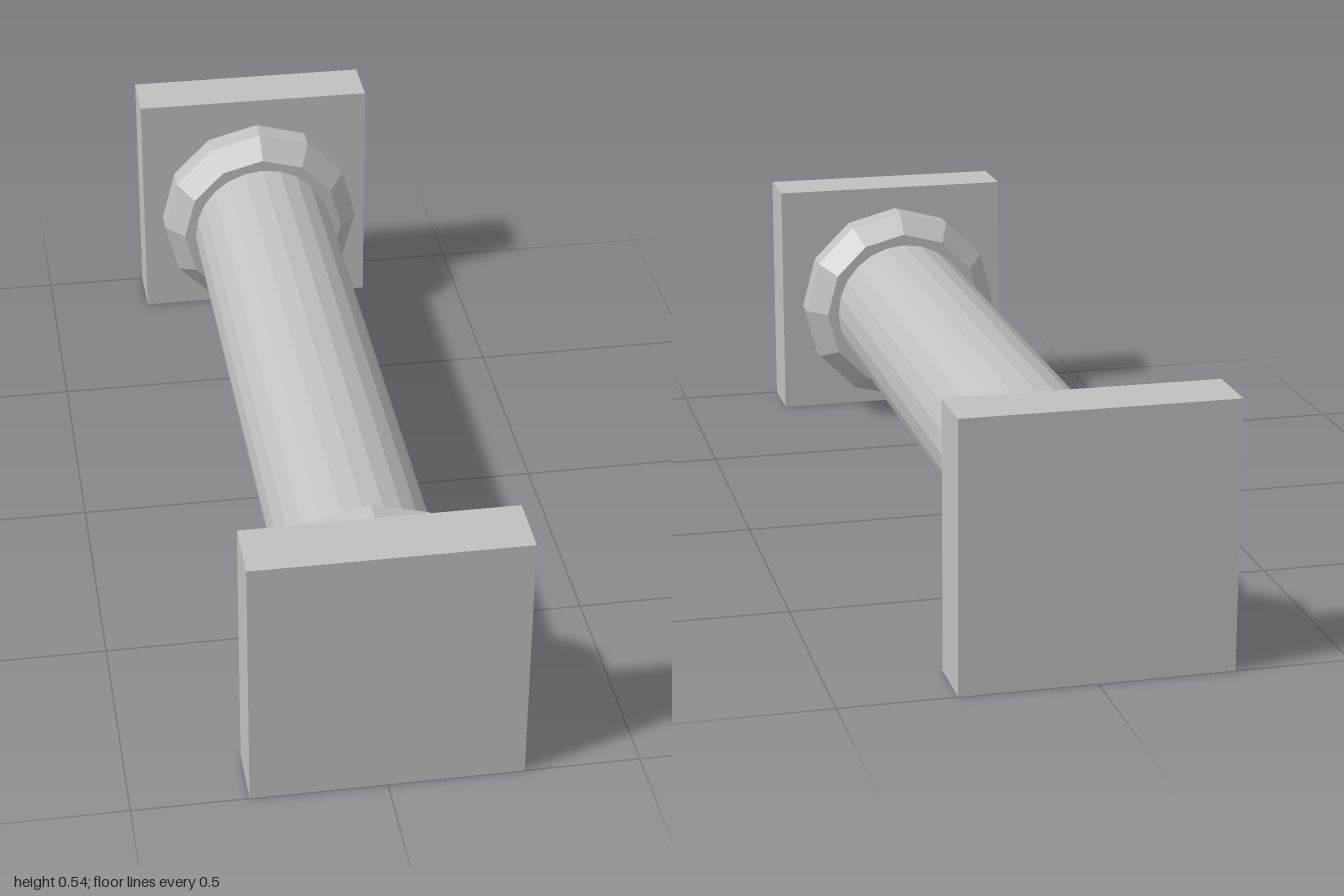
import * as THREE from 'three';

const CENTRE_Y = 0.27;

export function createModel() {
  const model = new THREE.Group();
  model.name = 'column';
  const stone = new THREE.MeshStandardMaterial({ color: 0xc0c0c0, flatShading: true });
  stone.name = 'grey stone';

  const add = (name, geometry, z = 0) => {
    const mesh = new THREE.Mesh(geometry, stone);
    mesh.name = name;
    mesh.position.set(0, CENTRE_Y, z);
    model.add(mesh);
  };

  // Round shaft lying along z
  add('shaft', new THREE.CylinderGeometry(0.162, 0.162, 1.76, 24, 1, true).rotateX(Math.PI / 2));

  // Bevelled collar, closed towards the shaft on both faces
  const profile = [
    [0.15, -0.077], [0.188, -0.077], [0.23, -0.027],
    [0.23, 0.027], [0.188, 0.077], [0.15, 0.077],
  ].map(([r, y]) => new THREE.Vector2(r, y));
  const collar = new THREE.LatheGeometry(profile, 12).rotateX(Math.PI / 2);

  // Square slab and collar at each end
  const slab = new THREE.BoxGeometry(0.54, 0.54, 0.13);
  for (const [end, side] of [['front', 1], ['back', -1]]) {
    add(end + 'Collar', collar, side * 0.795);
    add(end + 'Slab', slab, side * 0.935);
  }
  return model;
}
